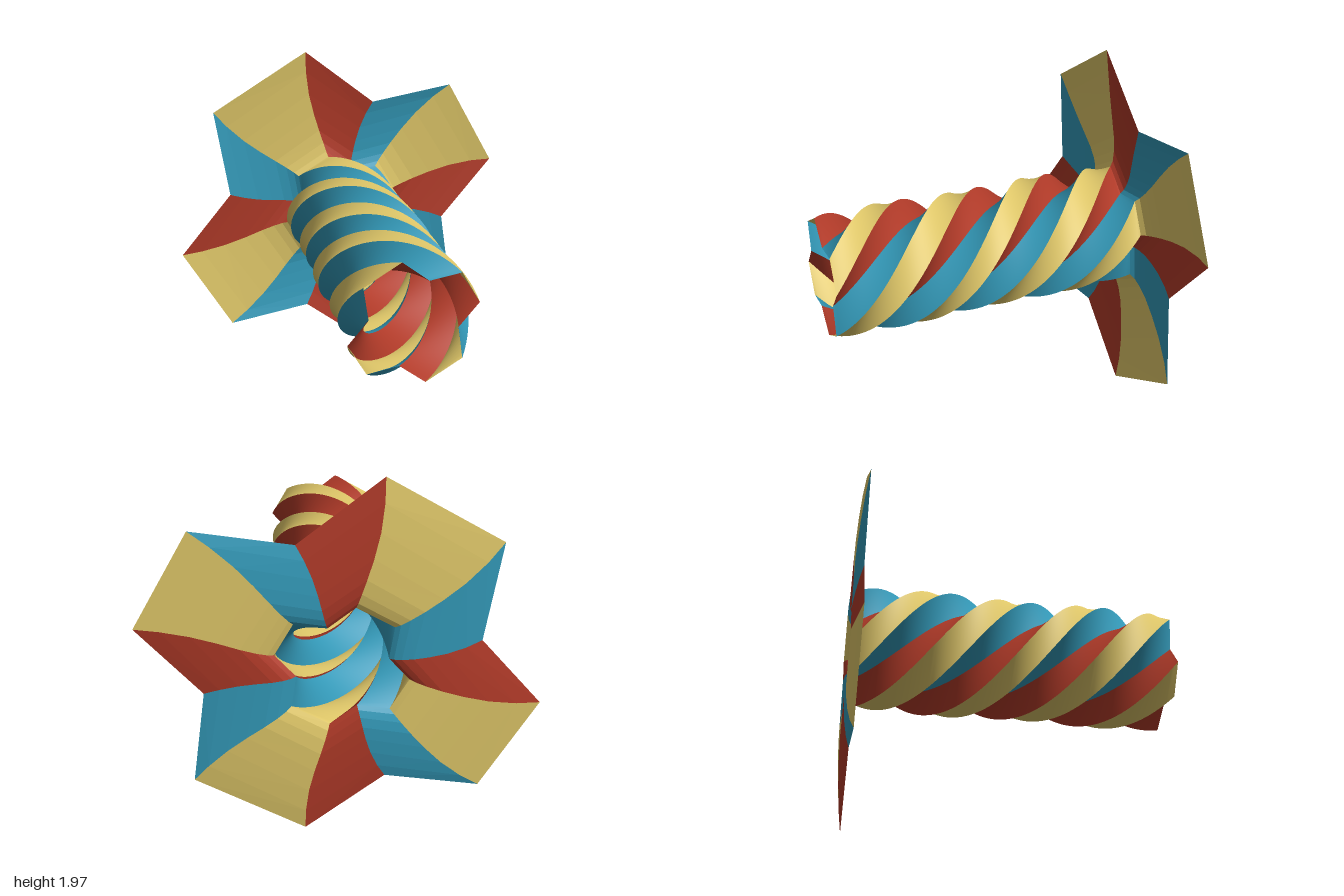
import * as THREE from 'three';

const DEG = Math.PI / 180;
const CENTRE_Y = 0.988;

// Half of the four-lobed cross-section as [angle, radius]; a half turn gives the rest.
const HALF = [[101, 1.003], [71.6, 0.696], [46.2, 1.026], [13.6, 1.023], [-10.8, 0.692], [-40.7, 0.996]];
const SECTION = [...HALF, ...HALF.map(([a, r]) => [a - 180, r])];

// Each ring is the cross-section scaled, turned (degrees) and placed at z.
function ringPoint(ring, corner) {
  const [a, r] = SECTION[corner % SECTION.length];
  const t = (a + ring.turn) * DEG;
  return [Math.cos(t) * r * ring.scale, CENTRE_Y + Math.sin(t) * r * ring.scale, ring.z];
}

// Skin one side of the section along all rings.
function strip(rings, side, faceted) {
  const pos = [], index = [];
  rings.forEach((ring, i) => {
    pos.push(...ringPoint(ring, side), ...ringPoint(ring, side + 1));
    if (i > 0) {
      const a = 2 * (i - 1), b = a + 1, c = a + 2, d = a + 3;
      index.push(a, b, c, b, d, c);
    }
  });
  let geo = new THREE.BufferGeometry();
  geo.setAttribute('position', new THREE.Float32BufferAttribute(pos, 3));
  geo.setIndex(index);
  if (faceted) geo = geo.toNonIndexed();
  geo.computeVertexNormals();
  return geo;
}

export function createModel() {
  const model = new THREE.Group();
  model.name = 'twistedFlaredTube';

  const material = (name, color) => {
    const m = new THREE.MeshStandardMaterial({ color, side: THREE.DoubleSide });
    m.name = name;
    return m;
  };
  const colours = [
    material('brickRed', 0xb03a28),
    material('tealBlue', 0x3399b8),
    material('sandYellow', 0xdec668),
  ];
  const names = ['red', 'blue', 'yellow'];

  // Tube: one full turn from the front opening to the back
  const tubeRings = [];
  const steps = 96;
  for (let i = 0; i <= steps; i++) {
    const t = i / steps;
    tubeRings.push({ scale: 1 / 3, turn: 360 * t, z: 0.885 - 1.735 * t });
  }

  // Flare: rolls backward out of the tube, then outward and slightly forward
  const flareProfile = [
    [0.333, -0.85], [0.365, -0.867], [0.42, -0.879], [0.5, -0.885],
    [0.61, -0.882], [0.74, -0.875], [0.88, -0.863], [1, -0.847],
  ];
  const flareRings = flareProfile.map(([scale, z]) => ({
    scale, z, turn: 2.5 * Math.sin(Math.PI * (scale - 0.333) / 0.667),
  }));

  const tube = new THREE.Group();
  tube.name = 'twistedTube';
  const flare = new THREE.Group();
  flare.name = 'flaredStar';
  for (let side = 0; side < SECTION.length; side++) {
    const c = side % 3;
    const band = new THREE.Mesh(strip(tubeRings, side, false), colours[c]);
    band.name = names[c] + 'Band';
    tube.add(band);
    const petal = new THREE.Mesh(strip(flareRings, side, true), colours[c]);
    petal.name = names[c] + 'Petal';
    flare.add(petal);
  }
  model.add(tube, flare);
  return model;
}
